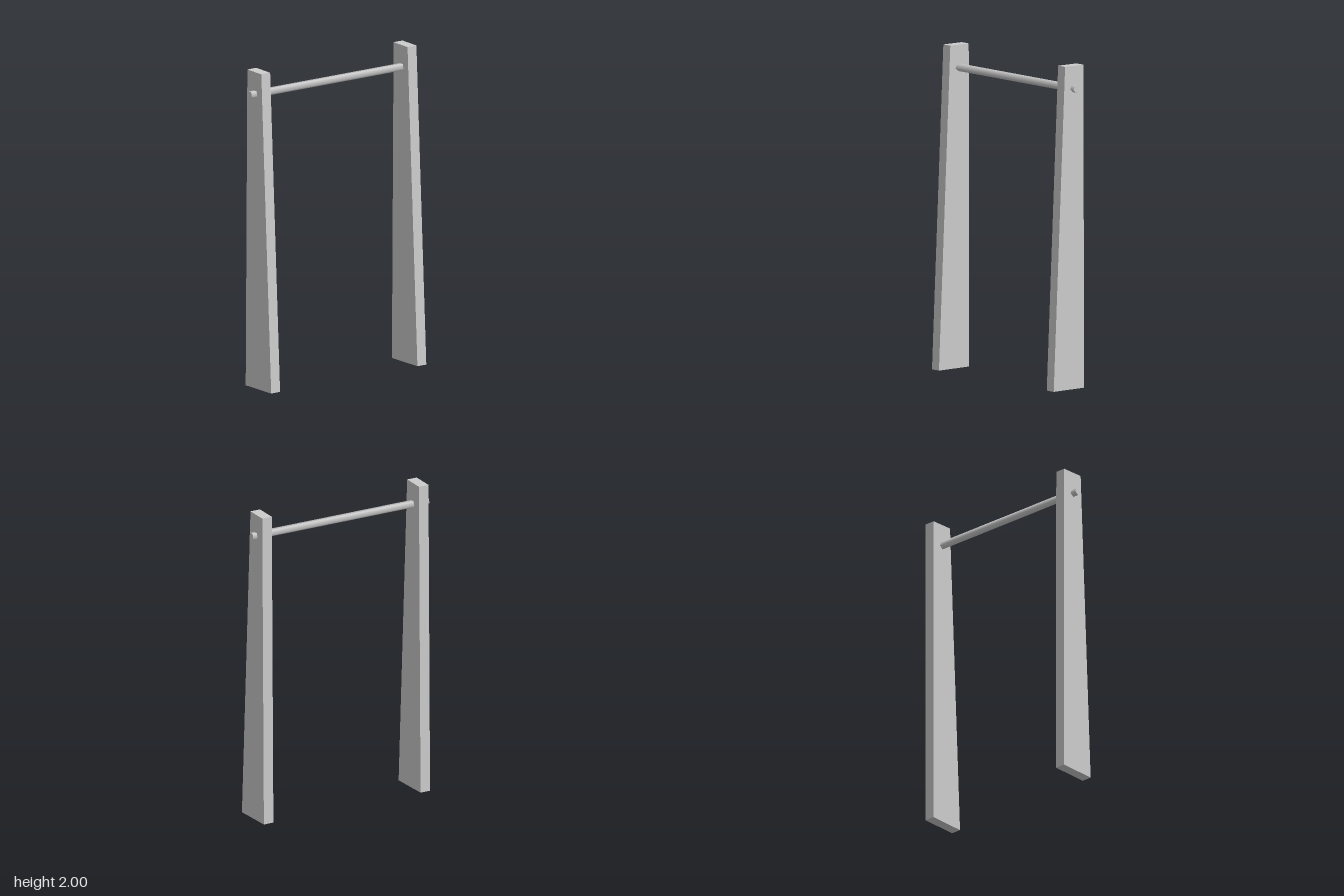
import * as THREE from 'three';

const material = new THREE.MeshStandardMaterial({ color: 0xcccccc });

// Tapered plank: deep at the foot, narrow at the top, slightly skewed at the foot
function createPost(name, x) {
  const geometry = new THREE.BoxGeometry(0.067, 2, 1, 1, 12, 1);
  const p = geometry.attributes.position;
  for (let i = 0; i < p.count; i++) {
    const t = (p.getY(i) + 1) / 2;
    const front = p.getZ(i) > 0;
    const z = front ? THREE.MathUtils.lerp(0.125, 0.03, t) : THREE.MathUtils.lerp(-0.125, -0.116, t);
    const skew = (front ? 0.006 : -0.006) * (1 - t);
    p.setXYZ(i, p.getX(i) + skew, t * 2, z);
  }
  geometry.computeVertexNormals();
  const post = new THREE.Mesh(geometry, material);
  post.name = name;
  post.position.x = x;
  return post;
}

export function createModel() {
  const model = new THREE.Group();
  model.name = 'pullUpBar';
  model.add(createPost('rightPost', -0.546), createPost('leftPost', 0.556));

  // Five-sided bar passing through both posts
  const bar = new THREE.Mesh(new THREE.CylinderGeometry(0.025, 0.025, 1.24, 5), material);
  bar.name = 'crossBar';
  bar.rotation.z = Math.PI / 2;
  bar.rotation.x = 0;
  bar.geometry.rotateY(-Math.PI / 2);
  bar.position.set(0, 1.862, -0.035);
  model.add(bar);
  return model;
}
